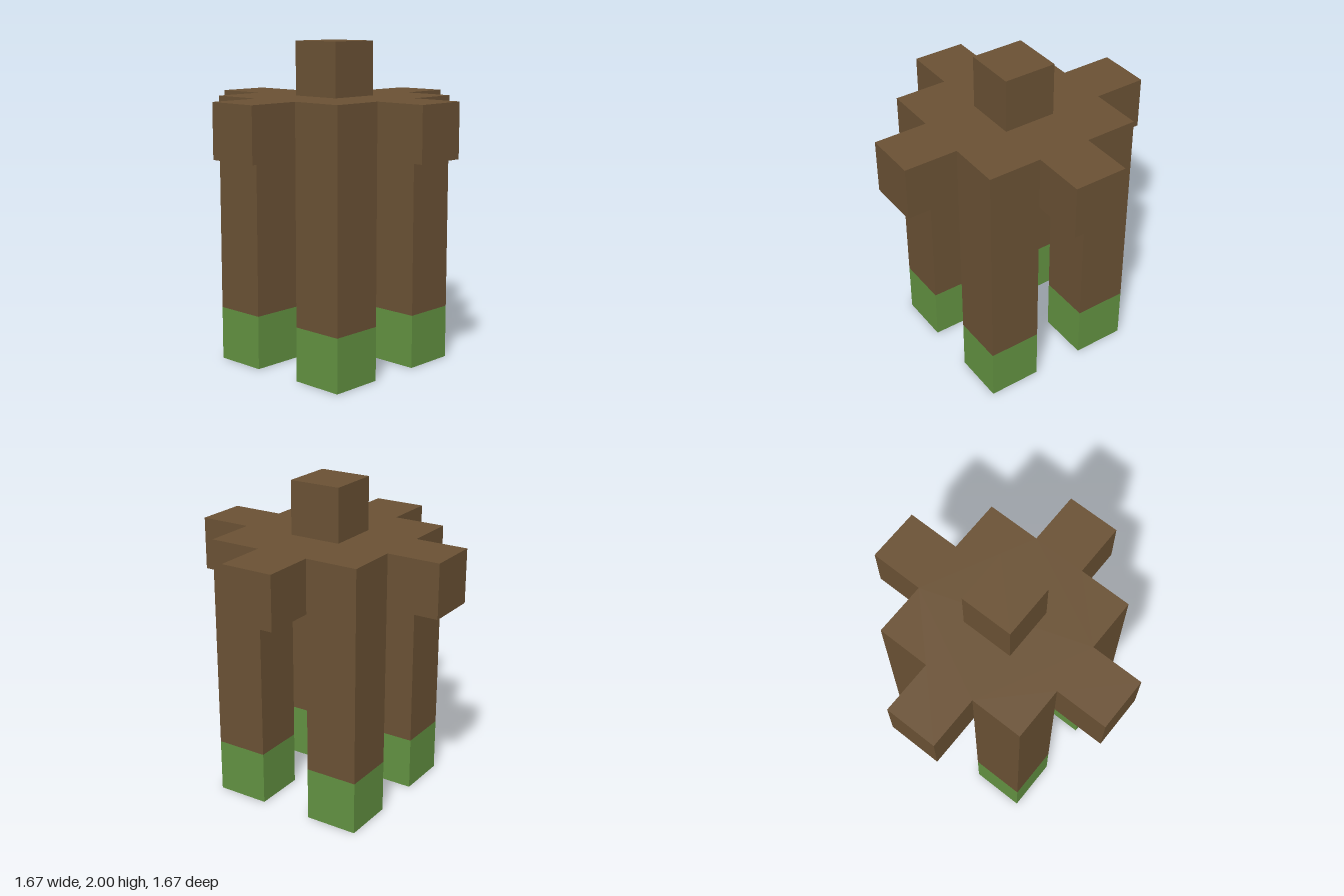
import * as THREE from 'three';

const U = 1 / 3; // side of one cube unit

export function createModel() {
  const model = new THREE.Group();
  const brown = new THREE.MeshStandardMaterial({ color: 0x6a5134 });
  brown.name = 'brown';
  const green = new THREE.MeshStandardMaterial({ color: 0x629141 });
  green.name = 'green';

  // Box standing on height y, all measures in cube units
  const addBlock = (name, material, height, x, y, z) => {
    const mesh = new THREE.Mesh(new THREE.BoxGeometry(U, height * U, U), material);
    mesh.name = name;
    mesh.position.set(x * U, (y + height / 2) * U, z * U);
    model.add(mesh);
  };

  // Body: square slab with one arm on each side, one quarter outline turned four times
  const quarter = [[2.5, -0.5], [2.5, 0.5], [1.5, 0.5], [1.5, 1.5], [0.5, 1.5]];
  const outline = [];
  for (let i = 0; i < 4; i++) {
    for (const [x, y] of quarter) {
      outline.push(new THREE.Vector2(x * U, y * U).rotateAround(new THREE.Vector2(), i * Math.PI / 2));
    }
  }
  const slab = new THREE.ExtrudeGeometry(new THREE.Shape(outline), { depth: U, bevelEnabled: false });
  slab.rotateX(-Math.PI / 2);
  const body = new THREE.Mesh(slab, brown);
  body.name = 'bodyWithArms';
  body.position.y = 4 * U;
  model.add(body);

  // Head
  addBlock('head', brown, 1, 0, 5, 0);

  // Four legs with green feet
  for (const x of [-1, 1]) {
    for (const z of [-1, 1]) {
      const side = (z > 0 ? 'front' : 'back') + (x > 0 ? 'Left' : 'Right');
      addBlock(side + 'Leg', brown, 3, x, 1, z);
      addBlock(side + 'Foot', green, 1, x, 0, z);
    }
  }
  return model;
}
